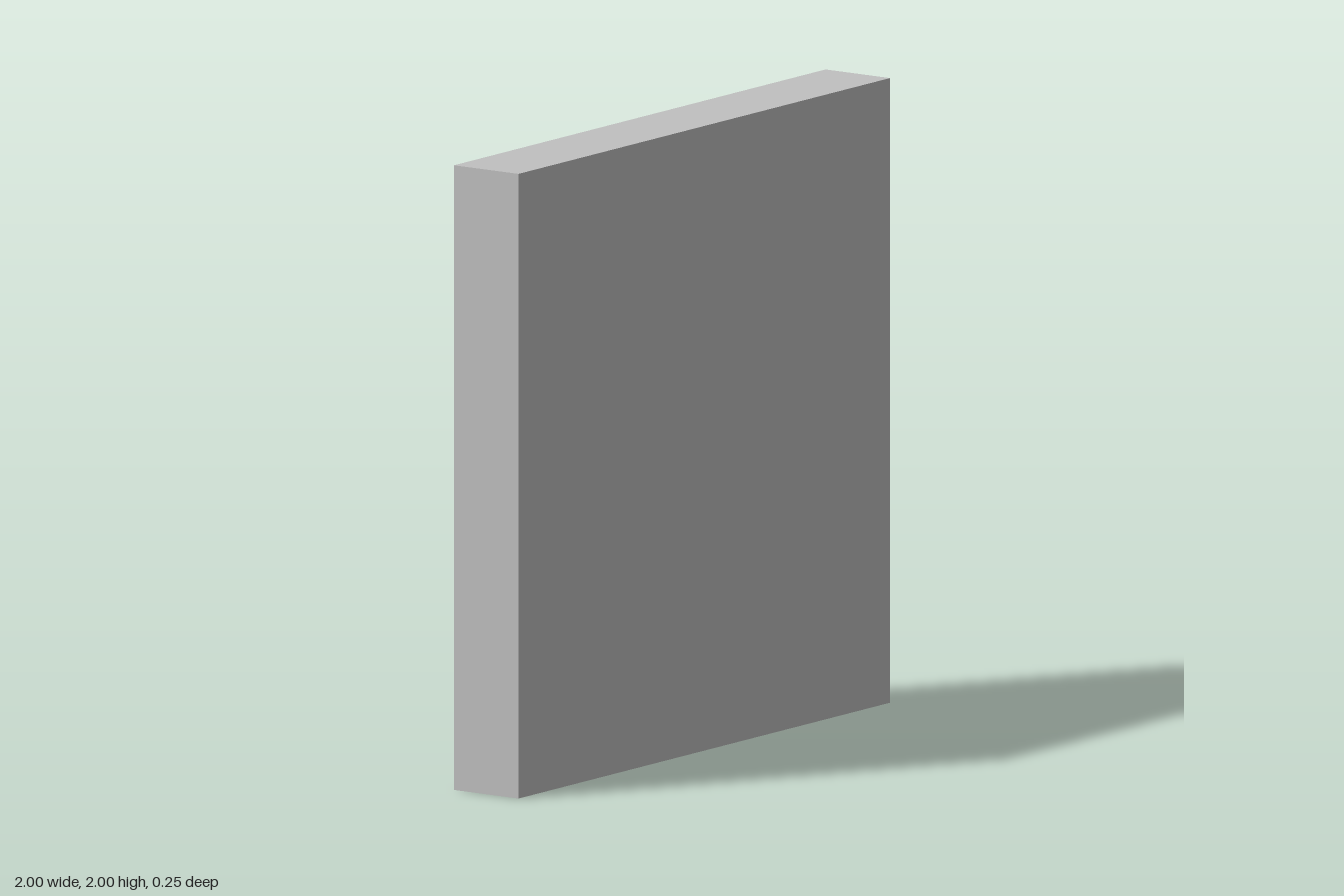
import * as THREE from 'three';
import { ConvexGeometry } from 'three/addons/geometries/ConvexGeometry.js';

const HALF_DEPTH = 0.125;

// Each shard of the cracked slab is convex: its outline on the front face,
// its outline on the back face, and any corners inside the thickness (x, y, z).
const LEFT_JOINT = [-0.977, 0.937, 0.053];
const LEFT_EDGE_REAR = [-1, 0.92, 0];
const LEFT_EDGE_FRONT = [-1, 0.955, 0.09];
const CENTRE_JOINT = [0.062, 0.51, 0.022];

const SHARDS = {
  upperLeftSliver: {
    front: [[-1, 2], [-0.87, 2], [-0.94, 1.035], [-1, 0.96]],
    back: [[-1, 2], [-0.97, 2], [-1, 1.64]],
    inner: [LEFT_JOINT, LEFT_EDGE_REAR, LEFT_EDGE_FRONT],
  },
  lowerLeftShard: {
    front: [[-1, 0.84], [-0.87, 0], [-1, 0]],
    back: [[-1, 0.82], [-0.84, 0.61], [-0.745, 0], [-1, 0]],
    inner: [LEFT_JOINT, LEFT_EDGE_REAR, LEFT_EDGE_FRONT],
  },
  lowerMiddleShard: {
    front: [[-1, 0.96], [-0.94, 1.035], [0.14, 0.64], [0.11, 0.48], [-0.04, 0], [-0.87, 0], [-1, 0.84]],
    back: [[-0.84, 0.61], [-0.07, 0.333], [-0.174, 0], [-0.745, 0]],
    inner: [LEFT_JOINT, LEFT_EDGE_FRONT, CENTRE_JOINT],
  },
  largeCentreShard: {
    front: [[-0.87, 2], [-0.27, 2], [0.33, 1.25], [0.47, 0.99], [0.14, 0.64], [-0.94, 1.035]],
    back: [[-0.97, 2], [0.07, 2], [0.19, 1.86], [0.645, 1.056], [0.104, 0.481],
      [-0.07, 0.333], [-0.84, 0.61], [-1, 0.82], [-1, 1.64]],
    inner: [LEFT_JOINT, LEFT_EDGE_REAR, CENTRE_JOINT],
  },
  topWedge: {
    front: [[-0.27, 2], [0.41, 2], [0.33, 1.25]],
    back: [[0.07, 2], [0.2, 2], [0.19, 1.86]],
    inner: [],
  },
  upperRightShard: {
    front: [[0.41, 2], [1, 2], [1, 1], [0.47, 0.99], [0.33, 1.25]],
    back: [[0.2, 2], [1, 2], [1, 1.066], [0.645, 1.056], [0.19, 1.86]],
    inner: [],
  },
  lowerRightShard: {
    front: [[1, 1], [0.47, 0.99], [0.14, 0.64], [0.11, 0.48], [0.9, 0], [1, 0]],
    back: [[1, 1.066], [0.645, 1.056], [0.104, 0.481], [0.905, 0], [1, 0]],
    inner: [CENTRE_JOINT],
  },
  bottomWedge: {
    front: [[0.11, 0.48], [-0.04, 0], [0.9, 0]],
    back: [[0.104, 0.481], [-0.07, 0.333], [-0.174, 0], [0.905, 0]],
    inner: [CENTRE_JOINT],
  },
};

export function createModel() {
  const group = new THREE.Group();
  group.name = 'crackedSlab';
  const stone = new THREE.MeshStandardMaterial({ color: 0xc0c0c0 });
  stone.name = 'plainGrey';

  for (const [name, { front, back, inner }] of Object.entries(SHARDS)) {
    const points = [
      ...front.map(([x, y]) => new THREE.Vector3(x, y, HALF_DEPTH)),
      ...back.map(([x, y]) => new THREE.Vector3(x, y, -HALF_DEPTH)),
      ...inner.map((p) => new THREE.Vector3(...p)),
    ];
    const shard = new THREE.Mesh(new ConvexGeometry(points), stone);
    shard.name = name;
    group.add(shard);
  }
  return group;
}
